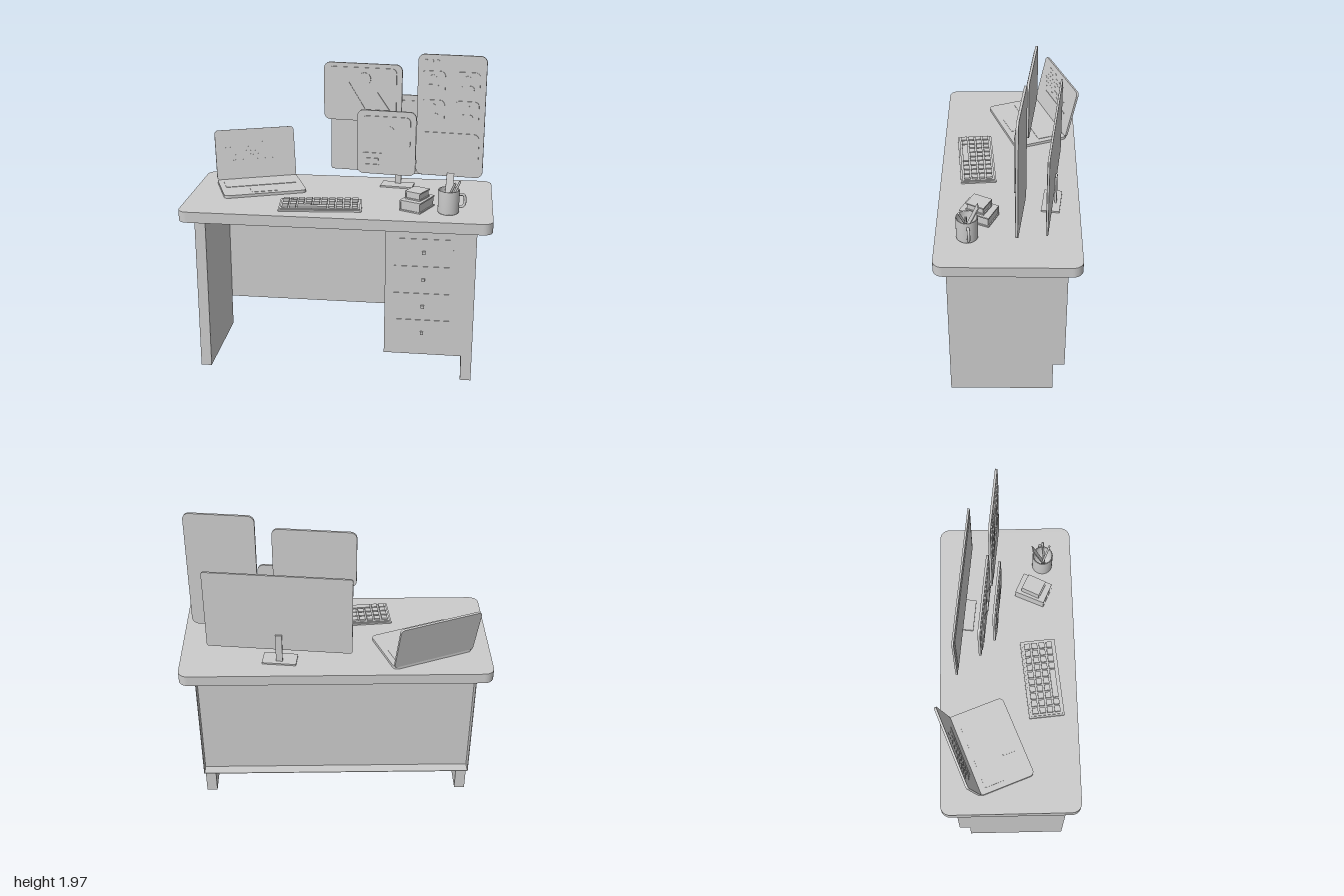
import * as THREE from 'three';

const grey = new THREE.MeshStandardMaterial({ color: 0xcccccc, side: THREE.DoubleSide });

function add(parent, name, geometry, x = 0, y = 0, z = 0) {
  const m = new THREE.Mesh(geometry, grey);
  m.name = name;
  m.position.set(x, y, z);
  parent.add(m);
  return m;
}
function box(parent, name, x0, x1, y0, y1, z0, z1) {
  return add(parent, name, new THREE.BoxGeometry(x1 - x0, y1 - y0, z1 - z0),
    (x0 + x1) / 2, (y0 + y1) / 2, (z0 + z1) / 2);
}
function group(parent, name, x, y, z, turn) {
  const g = new THREE.Group();
  g.name = name;
  g.position.set(x, y, z);
  g.rotation.y = turn;
  parent.add(g);
  return g;
}
// Upright rounded plate, centred in x and y, running from z = 0 to depth
function plate(w, h, r, depth) {
  const a = w / 2, b = h / 2, s = new THREE.Shape();
  s.moveTo(-a + r, -b);
  s.lineTo(a - r, -b);
  s.absarc(a - r, -b + r, r, -Math.PI / 2, 0);
  s.absarc(a - r, b - r, r, 0, Math.PI / 2);
  s.absarc(-a + r, b - r, r, Math.PI / 2, Math.PI);
  s.absarc(-a + r, -b + r, r, Math.PI, Math.PI * 1.5);
  return new THREE.ExtrudeGeometry(s, { depth, bevelEnabled: false, curveSegments: 6 });
}
const flat = (w, d, r, h) => plate(w, d, r, h).rotateX(-Math.PI / 2);
const disc = (r, depth) => new THREE.CylinderGeometry(r, r, depth, 24).rotateX(Math.PI / 2);
function triangle(w, h, depth) {
  const s = new THREE.Shape([new THREE.Vector2(-w / 2, 0), new THREE.Vector2(w / 2, 0), new THREE.Vector2(0, h)]);
  return new THREE.ExtrudeGeometry(s, { depth, bevelEnabled: false });
}

function buildDesk(root) {
  const desk = group(root, 'desk', 0, 0, 0, -0.149);
  add(desk, 'desktop', flat(1.91, 0.853, 0.06, 0.068), 0, 1, 0);
  for (const s of [-1, 1]) {
    const x = s * 0.8305;
    box(desk, 'sideLeg', x - 0.0335, x + 0.0335, 0, 1, -0.276, 0.356);
    box(desk, 'backPanelFlange', s * 0.862 - 0.002, s * 0.862 + 0.002, 0.21, 1, -0.346, -0.276);
  }
  // Recessed modesty panel with a ledge below
  box(desk, 'backPanel', -0.864, 0.864, 0.21, 1, -0.281, -0.276);
  box(desk, 'backPanelLedge', -0.864, 0.864, 0.21, 0.214, -0.346, -0.276);
  // Drawer pedestal
  box(desk, 'drawerCabinet', 0.316, 0.797, 0.165, 1, -0.275, 0.356);
  for (let i = 0; i < 4; i++) {
    const y = 0.314 + i * 0.178;
    box(desk, 'drawerFront', 0.372, 0.728, y - 0.086, y + 0.086, 0.35, 0.36);
    box(desk, 'drawerKnob', 0.54, 0.56, y - 0.01, y + 0.01, 0.36, 0.372);
  }
}

function buildLaptop(root) {
  const laptop = group(root, 'laptop', -0.5125, 1.068, -0.193, 0.215);
  add(laptop, 'laptopBase', flat(0.53, 0.36, 0.03, 0.018));
  add(laptop, 'laptopKeyArea', flat(0.46, 0.14, 0.01, 0.003), 0, 0.018, -0.06);
  add(laptop, 'trackpad', flat(0.17, 0.1, 0.01, 0.002), 0, 0.018, 0.095);
  const lid = group(laptop, 'laptopLid', 0, 0.014, -0.165, 0);
  lid.rotation.x = -0.23;
  add(lid, 'lidPanel', plate(0.53, 0.33, 0.025, 0.014), 0, 0.165, -0.014);
  // Rows of short dashes on the screen
  for (let row = 0; row < 6; row++) {
    const count = 5 + (row * 5) % 7;
    for (let i = 0; i < count; i++)
      add(lid, 'screenDash', new THREE.BoxGeometry(0.015, 0.006, 0.003), -0.19 + i * 0.03 + (row % 3) * 0.015, 0.29 - row * 0.026, 0);
  }
  add(lid, 'screenBar', new THREE.BoxGeometry(0.32, 0.01, 0.006), 0.01, 0.125, 0);
}

function buildKeyboard(root) {
  const kb = group(root, 'keyboard', -0.13, 1.068, 0.195, -0.06);
  add(kb, 'keyboardBase', flat(0.51, 0.22, 0.006, 0.01));
  add(kb, 'keyboardDeck', flat(0.49, 0.2, 0.006, 0.006), 0, 0.01, 0);
  const key = (x, z, w) => add(kb, 'key', new THREE.BoxGeometry(w, 0.014, 0.036), x, 0.021, z);
  for (let r = 0; r < 4; r++)
    for (let c = 0; c < 10; c++) {
      if (r === 3 && c > 1 && c < 6) continue;
      key((c - 4.5) * 0.0475, (r - 1.5) * 0.046, 0.037);
    }
  key(-0.0475, 0.069, 0.18);
}

function buildMonitor(root) {
  const m = group(root, 'monitor', 0.38, 0, -0.215, -0.262);
  add(m, 'monitorPanel', plate(0.89, 0.52, 0.015, 0.012), 0, 1.415, -0.006);
  add(m, 'monitorScreen', plate(0.83, 0.45, 0.01, 0.004), 0, 1.415, 0.006);
  add(m, 'monitorNeck', new THREE.BoxGeometry(0.04, 0.2, 0.012), 0, 1.165, -0.014);
  add(m, 'monitorFoot', flat(0.21, 0.11, 0.005, 0.01), 0, 1.068, 0.01);
}

// Floating cards; details are given as frontal x, y and width, height
function card(root, name, x0, x1, y0, y1, z) {
  const k = 0.965, cx = (x0 + x1) / 2, cy = (y0 + y1) / 2;
  const g = group(root, name, cx, cy, z, -0.265);
  add(g, 'cardPlate', plate((x1 - x0) / k - 0.004, y1 - y0, 0.04, 0.014), 0, 0, -0.007);
  const put = (part, geo, x, y, lift) => add(g, part, geo, (x - cx) / k, y - cy, 0.007 + lift);
  return {
    put,
    tile: (part, a, b, c, d, r = 0.03) => put(part, plate((b - a) / k, d - c, r, 0.006), (a + b) / 2, (c + d) / 2, 0)
  };
}

function buildCards(root) {
  const pic = card(root, 'pictureCard', -0.1, 0.385, 1.53, 1.895, -0.115);
  pic.tile('pictureInset', -0.072, 0.35, 1.56, 1.87);
  pic.put('pictureSun', disc(0.04, 0.008), 0.155, 1.8, 0.007);
  pic.put('tallMountain', triangle(0.22, 0.175, 0.006), 0.06, 1.6, 0.005);
  pic.put('shortMountain', triangle(0.17, 0.12, 0.009), 0.235, 1.6, 0.005);

  const info = card(root, 'infoCard', 0.105, 0.47, 1.205, 1.615, -0.017);
  info.tile('infoImage', 0.14, 0.435, 1.38, 1.58);
  info.put('infoDial', disc(0.035, 0.006), 0.305, 1.485, 0.006);
  [[0.26, 1.335], [0.24, 1.3], [0.245, 1.26]].forEach(([end, y]) =>
    info.tile('textBar', 0.145, end, y - 0.008, y + 0.008, 0.004));

  const call = card(root, 'contactCard', 0.475, 0.885, 1.205, 1.97, 0.03);
  for (let i = 0; i < 3; i++) call.put('windowDot', disc(0.01, 0.008), 0.525 + i * 0.035, 1.93, 0.002);
  for (const x of [0.57, 0.775])
    for (const y of [1.8, 1.62]) {
      call.tile('contactTile', x - 0.072, x + 0.072, y - 0.07, y + 0.07);
      call.put('contactHead', disc(0.023, 0.006), x, y + 0.025, 0.007);
      call.put('contactShoulders', plate(0.08, 0.045, 0.02, 0.004), x, y - 0.035, 0.006);
    }
  call.tile('messageTile', 0.505, 0.855, 1.265, 1.485, 0.035);
}

function buildBooks(root) {
  const book = (x, y, z, w, h, d, turn) => {
    const g = group(root, 'book', x, y, z, turn);
    for (const v of [0.004, h - 0.004]) add(g, 'bookCover', new THREE.BoxGeometry(w, 0.008, d), 0, v, 0);
    add(g, 'bookSpine', new THREE.BoxGeometry(0.008, h, d), -w / 2 + 0.004, h / 2, 0);
    add(g, 'bookPages', new THREE.BoxGeometry(w - 0.012, h - 0.012, d - 0.012), 0, h / 2, 0);
  };
  book(0.462, 1.068, 0.247, 0.14, 0.067, 0.195, -0.58);
  book(0.462, 1.135, 0.247, 0.105, 0.05, 0.12, -0.62);
}

function buildMug(root) {
  const mug = group(root, 'mug', 0.642, 1.068, 0.337, 0);
  const profile = [[0, 0], [0.058, 0], [0.064, 0.008], [0.065, 0.145], [0.062, 0.148],
    [0.057, 0.145], [0.056, 0.012], [0, 0.012]].map(p => new THREE.Vector2(...p));
  add(mug, 'mugBody', new THREE.LatheGeometry(profile, 32));
  const handle = new THREE.CatmullRomCurve3([[0.06, 0.115], [0.09, 0.112], [0.1, 0.078], [0.09, 0.042], [0.06, 0.036]]
    .map(([x, y]) => new THREE.Vector3(x, y, 0)));
  add(mug, 'mugHandle', new THREE.TubeGeometry(handle, 20, 0.009, 8));
  // Pencils and a ruler leaning on the rim
  const stick = (name, geo, a, b) => {
    const from = new THREE.Vector3(...a), to = new THREE.Vector3(...b);
    const m = add(mug, name, geo(from.distanceTo(to)), ...from.clone().lerp(to, 0.5).toArray());
    m.quaternion.setFromUnitVectors(new THREE.Vector3(0, 1, 0), to.sub(from).normalize());
  };
  const pencil = l => new THREE.CylinderGeometry(0.007, 0.007, l, 6);
  stick('pencil', pencil, [-0.03, 0.02, -0.02], [0.03, 0.2, 0.048]);
  stick('pencil', pencil, [-0.02, 0.02, 0.01], [0.065, 0.2, 0.01]);
  stick('ruler', l => new THREE.BoxGeometry(0.045, l, 0.006), [-0.01, 0.02, 0.02], [0.015, 0.23, -0.065]);
}

export function createModel() {
  const root = new THREE.Group();
  root.name = 'workDesk';
  [buildDesk, buildLaptop, buildKeyboard, buildMonitor, buildCards, buildBooks, buildMug].forEach(f => f(root));
  return root;
}
